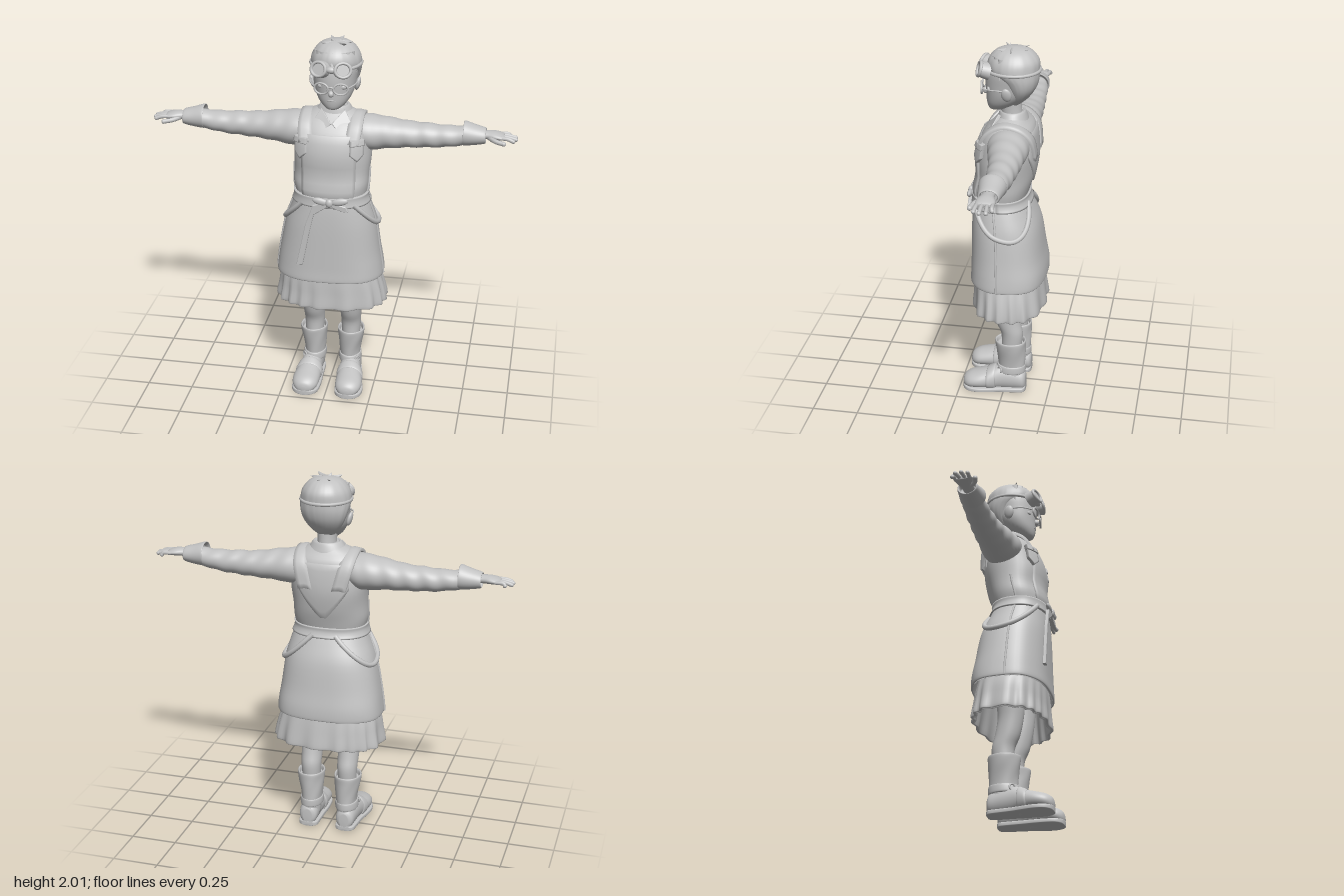
import * as THREE from 'three';

const V = (x, y, z) => new THREE.Vector3(x, y, z);
const grey = new THREE.MeshStandardMaterial({ color: 0xc2c2c2, side: THREE.DoubleSide });
grey.name = 'light grey';
const PI = Math.PI;

// Closed smooth body through superellipse sections [t, cu, cv, ru, rv, power]
function smooth(S, m) {
  const out = [];
  for (let i = 0; i < S.length - 1; i++) {
    const [a, b, c, d] = [S[Math.max(0, i - 1)], S[i], S[i + 1], S[Math.min(S.length - 1, i + 2)]];
    for (let j = 0; j < m; j++) {
      const t = j / m;
      out.push(b.map((q, k) => q + 0.5 * t * (c[k] - a[k] + t * (2 * a[k] - 5 * q + 4 * c[k] - d[k]
        + t * (3 * (q - c[k]) + d[k] - a[k])))));
    }
  }
  return [...out, S[S.length - 1]];
}
const sup = (v, p) => Math.sign(v) * Math.pow(Math.abs(v), 2 / p);
const place = { x: (t, u, v) => V(t, u, v), y: (t, u, v) => V(u, t, v), z: (t, u, v) => V(u, v, t) };
function loft(sections, axis = 'y', { n = 40, m = 4, fold = () => 1 } = {}) {
  const S = smooth(sections.map(s => s.length < 6 ? [...s, 2] : s), m), pts = [], idx = [];
  for (const [t, cu, cv, ru, rv, p] of S) for (let i = 0; i < n; i++) {
    const a = i / n * 2 * PI, f = fold(a, t);
    pts.push(place[axis](t, cu + Math.max(ru, 0.001) * f * sup(Math.cos(a), p), cv + Math.max(rv, 0.001) * f * sup(Math.sin(a), p)));
  }
  for (let r = 0; r < S.length - 1; r++) for (let i = 0; i < n; i++) {
    const a = r * n + i, b = r * n + (i + 1) % n;
    idx.push(a, a + n, b, b, a + n, b + n);
  }
  const last = S.length - 1, base = pts.length;
  [0, last].forEach(r => pts.push(place[axis](S[r][0], S[r][1], S[r][2])));
  for (let i = 0; i < n; i++) {
    const j = (i + 1) % n;
    idx.push(base, i, j, base + 1, last * n + j, last * n + i);
  }
  let vol = 0;
  for (let i = 0; i < idx.length; i += 3)
    vol += pts[idx[i]].dot(pts[idx[i + 1]].clone().cross(pts[idx[i + 2]]));
  if (vol < 0) idx.reverse();
  return finish(pts, idx);
}
function finish(pts, idx) {
  const g = new THREE.BufferGeometry().setFromPoints(pts);
  g.setIndex(idx);
  g.computeVertexNormals();
  return g;
}

// Raised cloth patch: P(u, v, lift), its border tucked onto the surface below
function sheet(P, lift = 0.01, nu = 24, nv = 8) {
  const pts = [], idx = [], q = (i, n) => Math.min(1, Math.max(0, (i - 1) / (n - 2)));
  for (let j = 0; j <= nv; j++) for (let i = 0; i <= nu; i++) {
    const edge = i === 0 || j === 0 || i === nu || j === nv;
    pts.push(P(q(i, nu), q(j, nv), edge ? -0.004 : lift));
    if (i < nu && j < nv) {
      const a = j * (nu + 1) + i, b = a + nu + 1;
      idx.push(a, b, a + 1, a + 1, b, b + 1);
    }
  }
  return finish(pts, idx);
}

// Outer surface of the torso and apron, bottom to top
const APRON = [[0.70, 0, -0.015, 0.29, 0.205, 2.6], [0.76, 0, -0.015, 0.284, 0.203, 2.6], [0.85, 0, -0.008, 0.27, 0.195, 2.5],
  [1.0, 0.005, 0.002, 0.245, 0.183, 2.4], [1.1, 0.01, 0.018, 0.213, 0.162, 2.3], [1.17, 0.01, 0.03, 0.188, 0.142, 2.3]];
const TORSO = [[1.17, 0.01, 0.03, 0.188, 0.142, 2.3], [1.23, 0.01, 0.022, 0.2, 0.15, 2.3], [1.3, 0.01, 0.005, 0.2, 0.15, 2.3],
  [1.4, 0.01, 0, 0.205, 0.16, 2.3], [1.5, 0.01, -0.008, 0.2, 0.145, 2.4], [1.56, 0.01, -0.02, 0.185, 0.12, 2.4],
  [1.6, 0.01, -0.025, 0.14, 0.085, 2.2], [1.63, 0.015, -0.03, 0.07, 0.06, 2]];
const BODY = smooth([...APRON, ...TORSO.slice(1)], 4);
function onBody(a, y, lift) {
  let i = 0;
  while (i < BODY.length - 2 && BODY[i + 1][0] < y) i++;
  const A = BODY[i], B = BODY[i + 1], k = (y - A[0]) / (B[0] - A[0]);
  const [, cx, cz, rx, rz, p] = A.map((q, n) => q + (B[n] - q) * k);
  return V(cx + (rx + lift) * sup(Math.cos(a), p), y, cz + (rz + lift) * sup(Math.sin(a), p));
}
// Patch on the body between two angles (degrees, 90 is the front)
const panel = (a0, a1, low, high, lift) => sheet((u, v, l) => {
  const y0 = typeof low === 'function' ? low(u) : low;
  return onBody((a1 + (a0 - a1) * u) * PI / 180, y0 + (high - y0) * v, l);
}, lift, Math.max(12, Math.round((a1 - a0) / 5)), 10);
const tube = (points, r, seg = 32, closed = false) =>
  new THREE.TubeGeometry(new THREE.CatmullRomCurve3(points, closed), seg, r, 8, closed);

export function createModel() {
  const model = new THREE.Group();
  model.name = 'child in apron';
  const add = (name, geo, pos = [0, 0, 0], scale = [1, 1, 1], rot = [0, 0, 0]) => {
    const m = new THREE.Mesh(geo, grey);
    m.name = name;
    m.position.set(...pos); m.scale.set(...scale); m.rotation.set(...rot);
    model.add(m);
    return m;
  };
  const ball = new THREE.SphereGeometry(1, 24, 16);
  const cone = (name, a, b, r, flat = 0.5) => {
    const d = b.clone().sub(a), m = add(name, new THREE.ConeGeometry(r, d.length(), 10), a.clone().add(b).multiplyScalar(0.5).toArray(), [1, 1, flat]);
    m.quaternion.setFromUnitVectors(V(0, 1, 0), d.normalize());
  };

  // Clothes on the trunk
  add('shirt torso', loft(TORSO, 'y', { fold: (a, y) => 1 + 0.012 * Math.sin(3 * a + 24 * y) }));
  add('apron skirt', loft([[1.0, 0, 0, 0.2, 0.14, 2.3], [0.72, 0, -0.015, 0.272, 0.19, 2.6], [0.7, 0, -0.015, 0.278, 0.195, 2.6], ...APRON],
    'y', { n: 64, fold: (a, y) => 1 + 0.012 * Math.sin(7 * a + 1) * Math.max(0, 1.1 - y) }));
  add('pleated skirt', loft([[0.85, 0, -0.01, 0.2, 0.14, 2.4], [0.55, 0.005, -0.02, 0.275, 0.175, 2.4], [0.53, 0.005, -0.02, 0.285, 0.185, 2.4],
    [0.53, 0.005, -0.02, 0.297, 0.196, 2.4], [0.6, 0.005, -0.018, 0.287, 0.19, 2.4], [0.7, 0, -0.012, 0.265, 0.18, 2.4], [0.9, 0, 0, 0.2, 0.15, 2.4]],
  'y', { n: 96, fold: (a, y) => 1 + 0.16 * Math.max(0, 0.76 - y) * Math.sin(17 * a + 2 * Math.sin(3 * a)) }));
  add('bib', panel(50, 130, 1.18, 1.52, 0.009));
  add('back panel', panel(232, 308, u => 1.42 - 0.18 * (1 - Math.abs(2 * u - 1)), 1.55, 0.008));
  add('belt', panel(0, 360, 1.135, 1.19, 0.012));
  for (const s of [1, -1]) {
    const side = s > 0 ? 'left' : 'right';
    const path = new THREE.CatmullRomCurve3([V(0.12 * s + 0.01, 1.48, 0.125), V(0.13 * s + 0.01, 1.555, 0.08), V(0.13 * s + 0.01, 1.598, 0.0),
      V(0.13 * s + 0.01, 1.585, -0.08), V(0.12 * s + 0.01, 1.53, -0.137), V(0.09 * s + 0.01, 1.42, -0.155)]);
    add(side + ' shoulder strap', sheet((u, v, l) => {
      const p = path.getPoint(u), d = V(0, p.y - 1.42, p.z + 0.02).normalize().multiplyScalar(l + 0.004);
      return p.add(d).add(V((v - 0.5) * 0.075, -Math.abs(v - 0.5) * 0.012, 0));
    }, 0.012, 28, 6));
    const c = s > 0 ? 50 : 130;
    add(side + ' pocket', panel(c - 12, c + 12, u => 1.39 + 0.035 * Math.abs(2 * u - 1), 1.48, 0.018));
    add(side + ' pocket flap', panel(c - 13, c + 13, 1.475, 1.505, 0.025));
    // Cloth loop sagging round each hip
    const loop = [], seam = [];
    for (let i = 0; i <= 12; i++) {
      const k = i / 12, a = (-75 + 125 * k) * PI / 180, y = 1.15 - 0.16 * Math.sin(PI * k);
      loop.push(onBody(s > 0 ? a : PI - a, y, 0.006));
      seam.push(onBody(s > 0 ? 0.08 : PI - 0.08, 0.7 + 0.62 * k, 0.002));
    }
    add(side + ' hip loop', tube(loop, 0.014));
    add(side + ' apron edge', tube(seam, 0.006));
    // Collar flap
    const flap = new THREE.Shape([[0.003, 0.045], [0.06, 0.125], [0.098, 0.06], [0.05, -0.005]].map(([x, y]) => new THREE.Vector2(x * s, y)));
    add(side + ' collar flap', new THREE.ExtrudeGeometry(flap, { depth: 0.012, bevelSize: 0.003, bevelThickness: 0.003, bevelSegments: 2 }),
      [0.018, 1.53, 0.108], [1, 1, 1], [-0.62, s * 0.2, 0]);
    // Bow
    add(side + ' bow loop', ball, [0.03 + s * 0.05, 1.175 + (s > 0 ? 0.004 : 0), 0.19], [0.045, 0.02, 0.014], [0, 0, s * 0.2]);
  }
  add('bow knot', ball, [0.025, 1.17, 0.195], [0.02, 0.024, 0.016]);
  const ribbon = (name, pts, z) => add(name, new THREE.ExtrudeGeometry(new THREE.Shape(pts.map(p => new THREE.Vector2(...p))),
    { depth: 0.012, bevelSize: 0.003, bevelThickness: 0.003, bevelSegments: 1 }), [0, 0, z]);
  ribbon('long ribbon tail', [[0.01, 1.175], [-0.06, 1.15], [-0.1, 1.04], [-0.15, 0.8], [-0.122, 0.8], [-0.085, 0.99], [-0.06, 1.1], [0.02, 1.155]], 0.184);
  ribbon('short ribbon tail', [[0.02, 1.175], [0.11, 1.15], [0.125, 1.125], [0.095, 1.128], [0.02, 1.155]], 0.18);
  add('collar band', loft([[1.585, 0.015, -0.03, 0.12, 0.085], [1.61, 0.015, -0.03, 0.1, 0.078], [1.645, 0.018, -0.028, 0.074, 0.066], [1.64, 0.018, -0.028, 0.06, 0.055]]));

  // Head
  add('neck', loft([[1.58, 0.018, -0.03, 0.055, 0.055], [1.65, 0.02, -0.022, 0.05, 0.055], [1.72, 0.02, -0.015, 0.055, 0.06]]));
  add('head', loft([[1.645, 0.02, 0.06, 0.015, 0.015], [1.655, 0.02, 0.05, 0.042, 0.045], [1.69, 0.02, 0.022, 0.078, 0.083], [1.74, 0.02, -0.005, 0.103, 0.113],
    [1.8, 0.02, -0.02, 0.114, 0.132], [1.86, 0.02, -0.025, 0.12, 0.132], [1.92, 0.02, -0.03, 0.11, 0.118], [1.96, 0.02, -0.035, 0.08, 0.085], [1.975, 0.02, -0.035, 0.02, 0.02]]));
  add('hair cap', loft([[1.685, 0.02, -0.045, 0.045, 0.025], [1.72, 0.02, -0.06, 0.078, 0.052], [1.77, 0.022, -0.073, 0.108, 0.075], [1.82, 0.022, -0.065, 0.125, 0.1],
    [1.87, 0.022, -0.037, 0.132, 0.131], [1.92, 0.022, -0.035, 0.122, 0.13], [1.96, 0.022, -0.035, 0.092, 0.1], [1.98, 0.022, -0.037, 0.055, 0.06], [1.988, 0.022, -0.04, 0.01, 0.01]],
  'y', { n: 64, fold: a => 1 + 0.008 * Math.sin(19 * a + 2 * Math.sin(4 * a)) }));
  for (let i = 0; i < 9; i++) {
    const a = (20 + 17.5 * i) * PI / 180, c = Math.cos(a), d = Math.sin(a);
    cone('fringe lock', V(0.02 + 0.095 * c, 1.94, -0.03 + 0.095 * d), V(0.02 + 0.125 * c, 1.82 + 0.05 * d + 0.01 * (i % 2), -0.025 + 0.138 * d), 0.03);
  }
  for (const [x, y, z] of [[-0.05, 1.985, 0.02], [0.0, 2.0, -0.01], [0.09, 1.99, 0.04], [0.11, 1.982, -0.03], [-0.02, 1.985, -0.11], [0.05, 1.985, -0.12]])
    cone('top tuft', V(0.02 + (x - 0.02) * 0.3, 1.968, -0.03 + (z + 0.03) * 0.3), V(x, y, z), 0.022);
  add('nose', ball, [0.02, 1.743, 0.112], [0.015, 0.017, 0.017]);
  add('upper lip', ball, [0.02, 1.703, 0.097], [0.026, 0.006, 0.012]);
  add('lower lip', ball, [0.02, 1.692, 0.093], [0.02, 0.007, 0.012]);

  // Goggles strap and bridge
  const strap = [];
  for (let i = 0; i < 24; i++) {
    const a = i / 24 * 2 * PI;
    strap.push(V(0.022 + 0.13 * Math.cos(a), 1.87, -0.032 + 0.138 * Math.sin(a)));
  }
  add('goggle strap', tube(strap, 0.009, 64, true));
  add('goggle bridge', ball, [0.022, 1.873, 0.118], [0.03, 0.018, 0.018]);
  add('glasses bridge', tube([V(0.006, 1.78, 0.13), V(0.022, 1.785, 0.134), V(0.038, 1.78, 0.13)], 0.005, 10));

  for (const s of [1, -1]) {
    const side = s > 0 ? 'left ' : 'right ';
    const fx = 0.022 + s * 0.05;
    add(side + 'ear', ball, [0.02 + s * 0.118, 1.765, -0.015], [0.014, 0.038, 0.026], [0.15, 0, -s * 0.25]);
    add(side + 'eye', ball, [fx, 1.775, 0.083], [0.026, 0.015, 0.013]);
    add(side + 'glasses rim', new THREE.TorusGeometry(0.037, 0.006, 8, 32), [fx, 1.775, 0.124], [1, 0.78, 1], [0, s * 0.2, 0]);
    add(side + 'glasses arm', tube([V(fx + s * 0.036, 1.78, 0.116), V(0.02 + s * 0.116, 1.785, 0.06), V(0.02 + s * 0.122, 1.785, -0.02)], 0.004, 16));
    const tilt = [PI / 2 - 0.3, 0, -s * 0.3];
    add(side + 'goggle cup', new THREE.CylinderGeometry(0.042, 0.05, 0.05, 28), [0.022 + s * 0.058, 1.872, 0.108], [1, 1, 0.9], tilt);
    add(side + 'goggle rim', new THREE.TorusGeometry(0.04, 0.009, 10, 28), [0.022 + s * 0.063, 1.88, 0.132], [1, 0.9, 1], [-0.3, s * 0.3, 0]);

    // Sleeve, cuff and hand
    add(side + 'sleeve', loft([[0.08, 1.51, -0.03, 0.07, 0.08], [0.14, 1.5, -0.03, 0.09, 0.105], [0.2, 1.495, -0.035, 0.094, 0.108], [0.28, 1.495, -0.04, 0.084, 0.095], [0.4, 1.49, -0.05, 0.07, 0.08],
      [0.5, 1.49, -0.052, 0.064, 0.07], [0.6, 1.492, -0.052, 0.057, 0.064], [0.72, 1.505, -0.05, 0.048, 0.055]].map(([x, ...r]) => [x * s, ...r]),
    'x', { m: 8, fold: (a, x) => 1 + 0.035 * Math.sin(62 * Math.abs(x) + 2.2 * Math.sin(a + 1)) * Math.min(1, Math.abs(x) * 2) }));
    add(side + 'cuff', loft([[0.71, 1.515, -0.047, 0.045, 0.05], [0.69, 1.517, -0.047, 0.061, 0.066], [0.7, 1.517, -0.047, 0.064, 0.068], [0.75, 1.512, -0.047, 0.053, 0.06],
      [0.8, 1.51, -0.047, 0.041, 0.052], [0.8, 1.51, -0.047, 0.033, 0.043], [0.77, 1.51, -0.047, 0.03, 0.04]].map(([x, ...r]) => [x * s, ...r]), 'x'));
    add(side + 'palm', loft([[0.76, 1.515, -0.045, 0.022, 0.03], [0.81, 1.517, -0.045, 0.022, 0.033], [0.85, 1.517, -0.045, 0.021, 0.045], [0.885, 1.514, -0.045, 0.016, 0.047], [0.9, 1.512, -0.045, 0.01, 0.04]]
      .map(([x, ...r]) => [x * s, ...r]), 'x'));
    [[-0.083, -0.088, 0.935], [-0.058, -0.064, 0.965], [-0.034, -0.032, 0.968], [-0.011, -0.003, 0.955]].forEach(([z0, z1, x], i) => {
      add(side + 'finger', tube([V(0.875 * s, 1.514, z0), V(0.92 * s, 1.512, (z0 + z1) / 2), V((x - 0.008) * s, 1.503, z1)], 0.0105, 12));
      add(side + 'fingertip', ball, [(x - 0.008) * s, 1.503, z1], [0.0105, 0.0105, 0.0105]);
    });
    add(side + 'thumb', tube([V(0.82 * s, 1.51, -0.025), V(0.855 * s, 1.503, 0.008), V(0.9 * s, 1.497, 0.023)], 0.0125, 12));
    add(side + 'thumb tip', ball, [0.9 * s, 1.497, 0.023], [0.0125, 0.0125, 0.0125]);

    // Leg and boot
    const X = x => x * s + 0.005;
    const body = (name, S, axis, opt) => add(side + name, loft(S.map(([t, x, ...r]) => [t, X(x), ...r]), axis, opt));
    body('leg', [[0.28, 0.103, -0.04, 0.05, 0.055], [0.36, 0.103, -0.042, 0.055, 0.06], [0.43, 0.104, -0.02, 0.058, 0.066], [0.52, 0.105, -0.003, 0.062, 0.068], [0.62, 0.11, 0, 0.07, 0.075], [0.8, 0.11, 0, 0.08, 0.08]]);
    body('boot shaft', [[0.06, 0.105, -0.045, 0.054, 0.072], [0.14, 0.1, -0.042, 0.055, 0.074], [0.2, 0.1, -0.04, 0.061, 0.077], [0.27, 0.104, -0.036, 0.071, 0.083], [0.312, 0.105, -0.035, 0.075, 0.086],
      [0.314, 0.105, -0.035, 0.066, 0.077], [0.29, 0.105, -0.035, 0.06, 0.07]], 'y', { fold: (a, y) => 1 + 0.012 * Math.sin(5 * a + 40 * y) });
    const FOOT = [[-0.121, 0.105, 0.06, 0.025, 0.04], [-0.105, 0.105, 0.065, 0.048, 0.058], [-0.05, 0.107, 0.075, 0.055, 0.072], [0.02, 0.11, 0.078, 0.06, 0.076], [0.08, 0.115, 0.066, 0.069, 0.062],
      [0.14, 0.12, 0.058, 0.074, 0.052], [0.19, 0.12, 0.05, 0.067, 0.045], [0.22, 0.12, 0.043, 0.042, 0.032], [0.229, 0.12, 0.04, 0.01, 0.01]];
    body('boot foot', FOOT, 'z');
    body('boot sole', FOOT.map(([z, x, , r]) => [z, x, 0.014, r + 0.004, 0.014, 5]), 'z');
    body('ankle strap', [[0.115, 0.101, -0.038, 0.055, 0.075], [0.12, 0.101, -0.037, 0.063, 0.082], [0.155, 0.1, -0.039, 0.062, 0.08], [0.16, 0.1, -0.04, 0.055, 0.074]]);
    body('instep strap', [[0.045, 0.113, 0.07, 0.066, 0.07], [0.055, 0.113, 0.07, 0.071, 0.075], [0.085, 0.116, 0.065, 0.075, 0.066], [0.095, 0.116, 0.064, 0.07, 0.06]], 'z');
    add(side + 'buckle', new THREE.TorusGeometry(0.016, 0.005, 6, 16), [X(0.15), 0.138, 0.018], [1, 1, 1], [0, s * 0.8, 0]);
  }
  return model;
}
